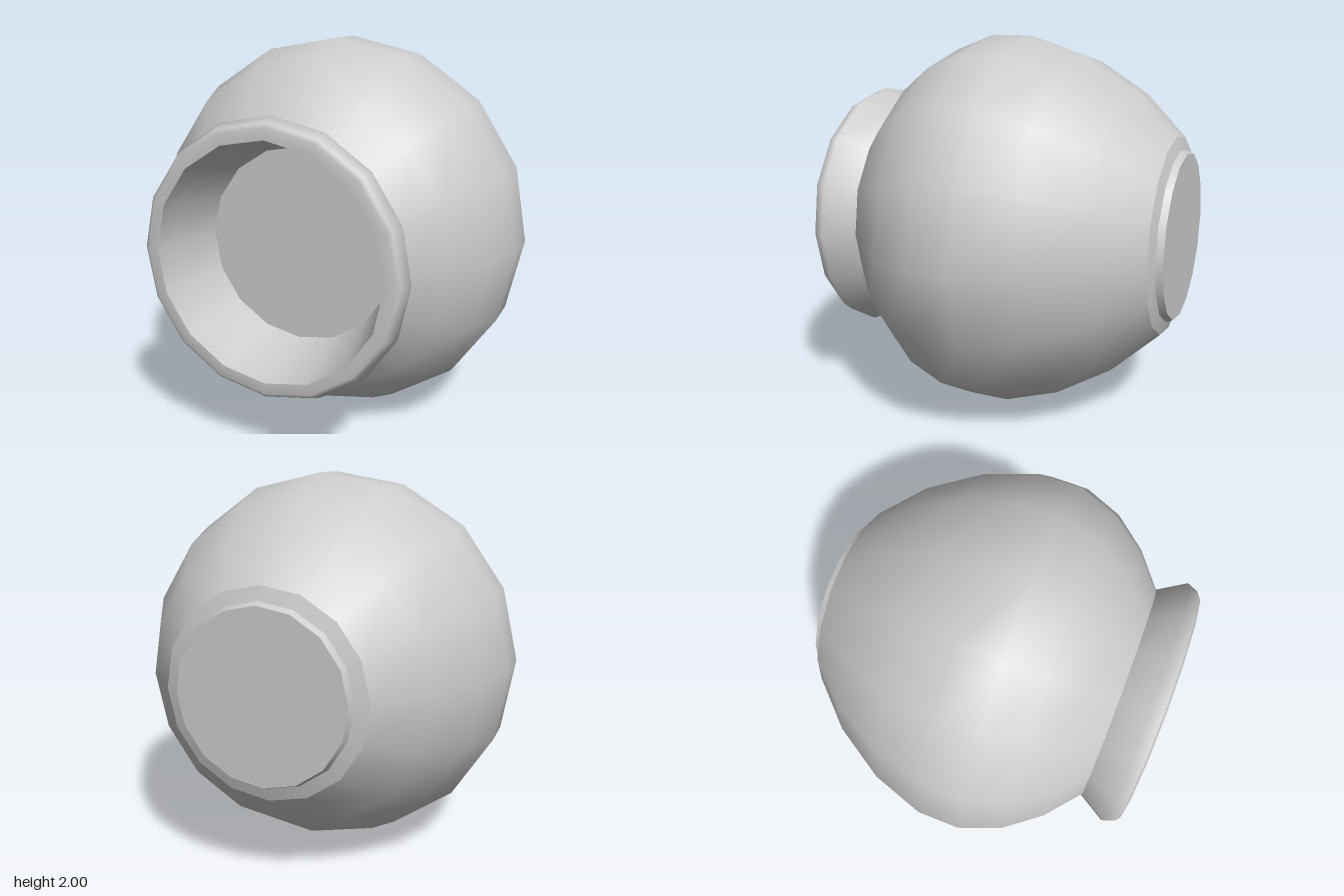
import * as THREE from 'three';

const SIDES = 16;
const TWIST = -0.025;

// Revolves [radius, z] points about the pot's front-to-back axis
function turned(name, profile, material) {
  const points = profile.map(([r, z]) => new THREE.Vector2(r, z));
  const geometry = new THREE.LatheGeometry(points, SIDES, TWIST);
  geometry.rotateX(Math.PI / 2);
  const mesh = new THREE.Mesh(geometry, material);
  mesh.name = name;
  return mesh;
}

export function createModel() {
  const grey = new THREE.MeshStandardMaterial({ color: 0xcccccc, side: THREE.DoubleSide });
  const pot = new THREE.Group();
  pot.name = 'pot';
  pot.position.y = 1;

  pot.add(
    // Round belly, from the base to the neck
    turned('body', [
      [0.52, -0.86], [0.74, -0.63], [0.91, -0.35], [1.0, -0.07],
      [1.0, 0.15], [0.92, 0.36], [0.78, 0.54], [0.6, 0.69],
    ], grey),

    // Flared collar around the mouth
    turned('rim', [
      [0.6, 0.69], [0.69, 0.84], [0.665, 0.9], [0.645, 0.914], [0.59, 0.914],
    ], grey),

    // Tapering inside of the mouth and the flat surface closing it
    turned('mouthWall', [[0.59, 0.914], [0.57, 0.8], [0.5, 0.54]], grey),
    turned('contents', [[0.5, 0.54], [0, 0.54]], grey),

    // Base: shoulder, low foot ring and flat underside
    turned('baseShoulder', [[0.45, -0.882], [0.52, -0.86]], grey),
    turned('foot', [[0.435, -0.916], [0.45, -0.882]], grey),
    turned('underside', [[0, -0.916], [0.435, -0.916]], grey),
  );

  const model = new THREE.Group();
  model.add(pot);
  return model;
}
